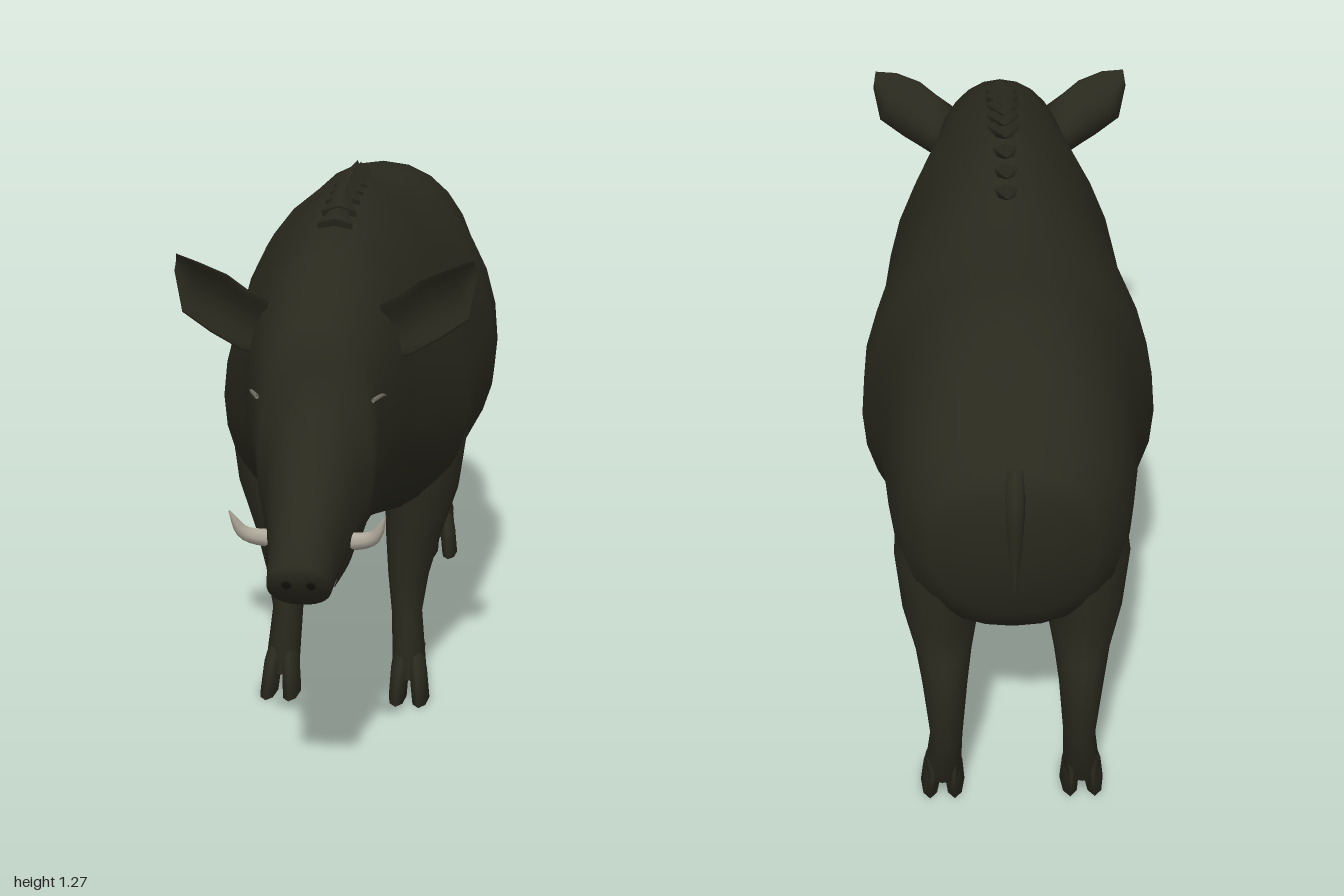
import * as THREE from 'three';

const mat = (name, color) => {
  const m = new THREE.MeshStandardMaterial({ color, side: THREE.DoubleSide });
  m.name = name;
  return m;
};

// Smooth closed skin through rings of points, each ring counter-clockwise about the travel direction.
function loft(rings) {
  const n = rings[0].length, pos = rings.flat(2), idx = [];
  for (let i = 0; i < rings.length - 1; i++) {
    for (let j = 0; j < n; j++) {
      const a = i * n + j, b = i * n + (j + 1) % n;
      idx.push(a, b, b + n, a, b + n, a + n);
    }
  }
  [0, rings.length - 1].forEach((ri, end) => {
    const centre = pos.length / 3;
    pos.push(...[0, 1, 2].map(k => rings[ri].reduce((s, p) => s + p[k], 0) / n));
    for (let j = 0; j < n; j++) {
      const a = ri * n + j, b = ri * n + (j + 1) % n;
      idx.push(centre, end ? a : b, end ? b : a);
    }
  });
  const g = new THREE.BufferGeometry();
  g.setAttribute('position', new THREE.Float32BufferAttribute(pos, 3));
  g.setIndex(idx);
  g.computeVertexNormals();
  return g;
}

const around = (n, f) => Array.from({ length: n }, (_, i) => f(i / n * Math.PI * 2));

// Upright limb: rows of [y, centre x, centre z, radius x, radius z], bottom to top.
const column = (rows, n = 14) => loft(rows.map(([y, cx, cz, rx, rz]) =>
  around(n, a => [cx + rx * Math.sin(a), y, cz + rz * Math.cos(a)])));

// Copy on the other side, with the corner order put right again.
function mirrored(geo) {
  const g = geo.clone().scale(-1, 1, 1), ix = g.index;
  for (let i = 0; i < ix.count; i += 3) {
    const t = ix.getX(i);
    ix.setX(i, ix.getX(i + 2));
    ix.setX(i + 2, t);
  }
  g.computeVertexNormals();
  return g;
}

// Tube that narrows to a point along its curve.
function taperedTube(points, radius) {
  const curve = new THREE.CatmullRomCurve3(points.map(p => new THREE.Vector3(...p)));
  const g = new THREE.TubeGeometry(curve, 10, radius, 8), p = g.attributes.position;
  const v = new THREE.Vector3();
  for (let i = 0; i < p.count; i++) {
    const t = Math.floor(i / 9) / 10, c = curve.getPointAt(t);
    v.fromBufferAttribute(p, i).sub(c).multiplyScalar(1 - 0.9 * t * t).add(c);
    p.setXYZ(i, v.x, v.y, v.z);
  }
  g.computeVertexNormals();
  return g;
}

export function createModel() {
  const model = new THREE.Group();
  const hide = mat('dark hide', 0x2a291e);
  const dark = mat('black', 0x17160f);
  const ivory = mat('ivory', 0xb0a99b);
  const grey = mat('eye grey', 0x6a675c);

  const add = (name, geo, m = hide) => {
    const mesh = new THREE.Mesh(geo, m);
    mesh.name = name;
    model.add(mesh);
  };
  const addPair = (name, geo, m) => {
    add(name + 'Left', geo, m);
    add(name + 'Right', mirrored(geo), m);
  };

  // Trunk and head: z, bottom y, top y, half width, y of widest point
  const sections = [
    [-0.965, 0.74, 0.925, 0.09, 0.84],
    [-0.94, 0.6, 0.955, 0.175, 0.8],
    [-0.88, 0.52, 1.02, 0.228, 0.77],
    [-0.78, 0.48, 1.11, 0.255, 0.76],
    [-0.66, 0.46, 1.168, 0.272, 0.76],
    [-0.53, 0.44, 1.17, 0.282, 0.76],
    [-0.4, 0.42, 1.172, 0.33, 0.75],
    [-0.25, 0.43, 1.19, 0.332, 0.75],
    [0.02, 0.45, 1.25, 0.302, 0.74],
    [0.2, 0.46, 1.235, 0.288, 0.75],
    [0.42, 0.52, 1.19, 0.205, 0.83],
    [0.52, 0.55, 1.165, 0.18, 0.87],
    [0.7, 0.53, 1.065, 0.133, 0.84],
    [0.715, 0.525, 0.97, 0.124, 0.75],
    [0.76, 0.52, 0.88, 0.1, 0.68],
    [0.9, 0.53, 0.71, 0.072, 0.6],
    [0.967, 0.532, 0.638, 0.066, 0.58],
  ];
  // The back is most peaked over the shoulders, and the snout end leans forward at the top.
  add('body', loft(sections.map(([z, yb, yt, w, yw]) => around(28, a => {
    const c = Math.cos(a), s = Math.sin(a);
    const e = s > 0 ? 2 / (1.5 + Math.min(0.7, 1.2 * Math.abs(z - 0.05))) : 0.9;
    const y = yw + Math.sign(s) * Math.abs(s) ** e * (s > 0 ? yt - yw : yw - yb);
    return [w * Math.sign(c) * Math.abs(c) ** e, y, z + Math.max(0, z - 0.88) * 6.5 * (y - yw)];
  }))));

  // Legs
  addPair('frontLeg', column([
    [0.05, 0.158, 0.19, 0.042, 0.045], [0.2, 0.147, 0.155, 0.037, 0.048],
    [0.3, 0.15, 0.15, 0.05, 0.06], [0.4, 0.16, 0.13, 0.068, 0.085],
    [0.52, 0.178, 0.115, 0.09, 0.12], [0.68, 0.18, 0.1, 0.11, 0.15], [0.9, 0.14, 0.08, 0.1, 0.13],
  ]));
  addPair('hindLeg', column([
    [0.05, 0.158, -0.81, 0.042, 0.045], [0.2, 0.147, -0.85, 0.036, 0.05],
    [0.36, 0.148, -0.855, 0.05, 0.072], [0.42, 0.15, -0.81, 0.062, 0.085],
    [0.5, 0.155, -0.755, 0.085, 0.135], [0.64, 0.155, -0.74, 0.1, 0.16],
    [0.9, 0.12, -0.73, 0.09, 0.16],
  ]));

  // Cloven feet and dewclaws
  [['front', 0.21], ['hind', -0.79]].forEach(([name, z]) => [-1, 1].forEach(s => {
    const side = name + (s < 0 ? 'Inner' : 'Outer');
    addPair(side + 'Toe', column([
      [0, 0.159 + s * 0.028, z + 0.004, 0.022, 0.066],
      [0.07, 0.157 + s * 0.022, z - 0.01, 0.022, 0.046],
      [0.13, 0.153 + s * 0.012, z - 0.038, 0.02, 0.03],
    ], 8));
    addPair(side + 'Dewclaw', new THREE.ConeGeometry(0.014, 0.075, 6)
      .rotateX(Math.PI + 0.3).translate(0.157 + s * 0.024, 0.078, z - 0.064));
  }));

  // Cupped ears leaning forward at the top: upper edge x, y, lower edge x, y, thickness
  addPair('ear', loft([
    [0.12, 1.07, 0.145, 0.94, 0.03], [0.165, 1.1, 0.185, 0.955, 0.025],
    [0.205, 1.132, 0.25, 0.995, 0.016], [0.265, 1.157, 0.31, 1.04, 0.01],
    [0.318, 1.17, 0.325, 1.13, 0.004],
  ].map(([px, py, qx, qy, t]) => around(16, a => {
    const u = Math.cos(a), hx = (px - qx) / 2, hy = (py - qy) / 2;
    const y = (py + qy) / 2 + hy * u;
    return [(px + qx) / 2 + hx * u, y,
      0.525 + t * Math.sin(a) + u * u * Math.hypot(hx, hy) * 0.55 + (y - 1.06) * 0.25];
  }))));

  // Tail
  add('tail', taperedTube([[0, 0.95, -0.93], [0, 0.905, -0.975], [0, 0.8, -0.985], [0, 0.7, -0.995]], 0.021));

  // Face: tusks, mouth lines, eyes, nostrils
  addPair('tusk', taperedTube([[0.07, 0.615, 0.79], [0.135, 0.638, 0.82], [0.162, 0.692, 0.842]], 0.02), ivory);
  addPair('mouth', taperedTube([[0.094, 0.645, 0.76], [0.083, 0.592, 0.83], [0.064, 0.558, 0.9]], 0.008), dark);
  addPair('eye', new THREE.SphereGeometry(0.013, 10, 8).scale(0.8, 0.7, 1.3).translate(0.122, 0.898, 0.69), dark);
  addPair('eyelid', taperedTube([[0.122, 0.902, 0.715], [0.138, 0.907, 0.69], [0.145, 0.898, 0.66]], 0.005), grey);
  addPair('nostril', new THREE.SphereGeometry(0.011, 10, 8).scale(1, 1.2, 0.3)
    .rotateX(0.53).translate(0.025, 0.586, 0.969), dark);

  // Mane: a row of flat tufts leaning back along the spine
  const spine = z => {
    const i = sections.findIndex(s => s[0] >= z), a = sections[i - 1], b = sections[i];
    return THREE.MathUtils.mapLinear(z, a[0], b[0], a[2], b[2]);
  };
  for (let i = 0; i < 8; i++) {
    const z = 0.3 - i * 0.072;
    add('maneTuft', new THREE.ConeGeometry(0.045, 0.15, 6).scale(1, 1, 0.6)
      .rotateX(-1.25).translate(0, spine(z), z));
  }

  // Bristles under the jaw and behind the legs
  const bristle = (x, y, z) => new THREE.ConeGeometry(0.011, 0.05, 4)
    .scale(0.5, 1, 1).rotateX(-2.2).translate(x, y, z);
  [0.66, 0.58, 0.5].forEach(z => add('chinBristle', bristle(0, 0.535, z)));
  [[0.38, 0.04], [0.32, 0.08], [0.25, 0.1], [0.54, -0.89], [0.4, -0.88]].forEach(([y, z]) =>
    addPair('legBristle', bristle(0.15, y, z)));

  // Belly sheath
  add('sheath', new THREE.ConeGeometry(0.04, 0.06, 8).rotateX(Math.PI).scale(1, 1, 1.3).translate(0, 0.428, -0.42));

  return model;
}
